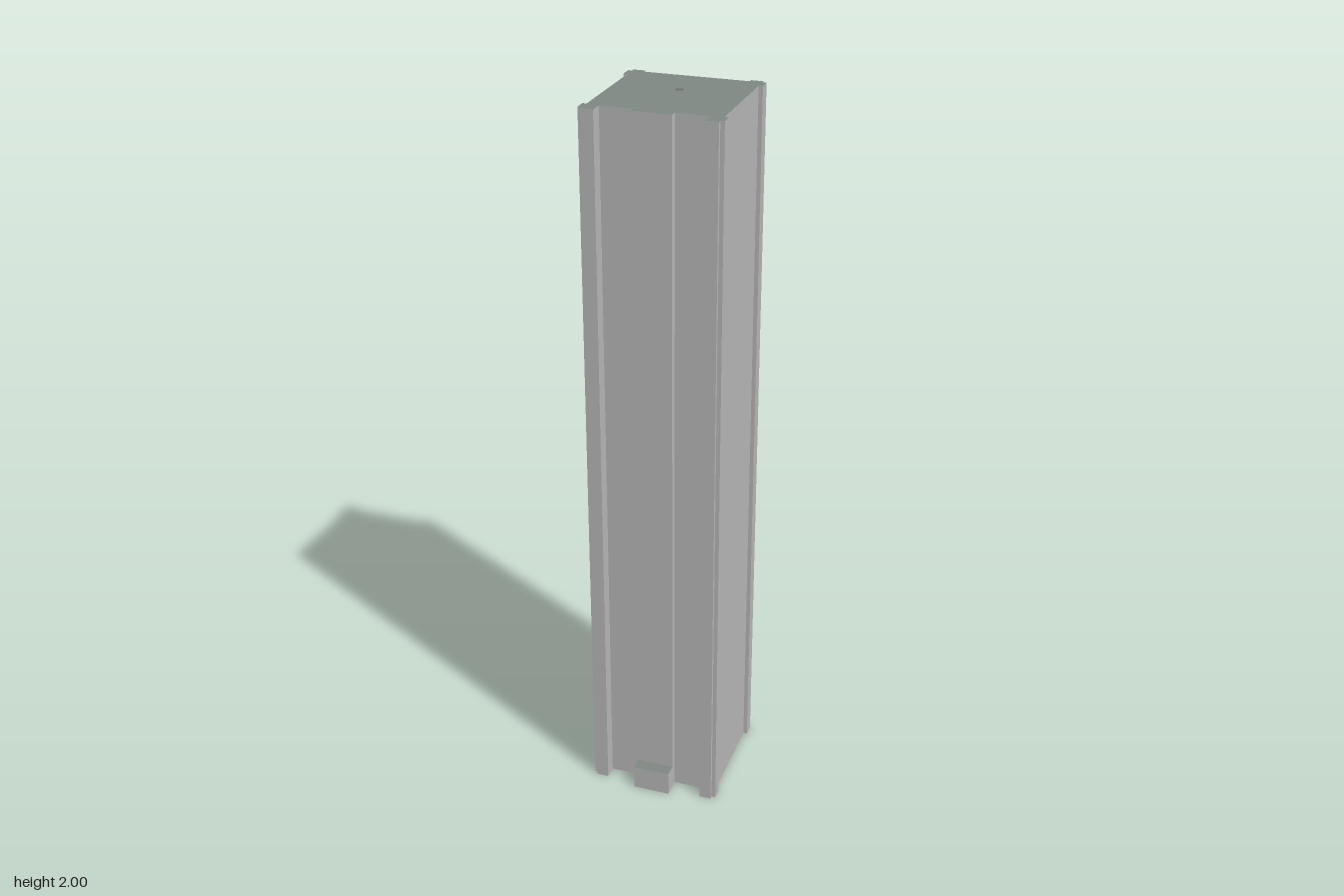
import * as THREE from 'three';

const wallMat = new THREE.MeshStandardMaterial({ color: 0xb8b8b8, side: THREE.DoubleSide });
wallMat.name = 'light grey wall';
const roofMat = new THREE.MeshStandardMaterial({ color: 0x808884, side: THREE.DoubleSide });
roofMat.name = 'grey green roof';

// Upright walls along a plan outline [x, z], open at top and bottom
function makeWalls(name, pts, y0, y1, closed = true) {
  const pos = [];
  const n = closed ? pts.length : pts.length - 1;
  for (let i = 0; i < n; i++) {
    const [ax, az] = pts[i];
    const [bx, bz] = pts[(i + 1) % pts.length];
    pos.push(bx, y0, bz, ax, y0, az, ax, y1, az);
    pos.push(bx, y0, bz, ax, y1, az, bx, y1, bz);
  }
  const geo = new THREE.BufferGeometry();
  geo.setAttribute('position', new THREE.Float32BufferAttribute(pos, 3));
  geo.computeVertexNormals();
  const mesh = new THREE.Mesh(geo, wallMat);
  mesh.name = name;
  return mesh;
}

// Flat roof filling a plan outline
function makeRoof(name, pts, y) {
  const shape = new THREE.Shape(pts.map(([x, z]) => new THREE.Vector2(x, -z)));
  const geo = new THREE.ShapeGeometry(shape);
  geo.rotateX(-Math.PI / 2);
  geo.translate(0, y, 0);
  const mesh = new THREE.Mesh(geo, roofMat);
  mesh.name = name;
  return mesh;
}

export function createModel() {
  const model = new THREE.Group();
  model.name = 'towerBlock';

  // The tower stands turned on its plot
  const tower = new THREE.Group();
  tower.name = 'tower';
  tower.rotation.y = -THREE.MathUtils.degToRad(16);
  model.add(tower);

  // Half plan, back to front: notched corner piers, recessed front, entrance bay
  const wall = 0.174, pier = 0.185, inner = 0.141, front = 0.148, bay = 0.168, bayX = 0.052;
  const half = [
    [inner, -wall], [inner, -pier], [wall, -pier], [wall, -wall],
    [pier, -wall], [pier, -inner], [wall, -inner],
    [wall, inner + 0.003], [pier, inner + 0.003], [pier, wall + 0.002],
    [wall, wall + 0.002], [wall, pier + 0.001], [inner, pier + 0.001],
    [inner, front], [bayX, front], [bayX, bay],
  ];
  const plan = [...half, ...half.map(([x, z]) => [-x, z]).reverse()];
  const top = 1.995;
  tower.add(makeWalls('outerWalls', plan, 0, top), makeRoof('mainRoof', plan, top));

  // Entrance porch in front of the bay
  const porchZ = 0.205, porchH = 0.07;
  const porch = [[bayX, bay], [bayX, porchZ], [-bayX, porchZ], [-bayX, bay]];
  tower.add(makeWalls('porchWalls', porch, 0, porchH, false), makeRoof('porchRoof', porch, porchH));

  // Small roof hatch, square to the axes
  const hatch = new THREE.Mesh(new THREE.BoxGeometry(0.019, 0.008, 0.014), roofMat);
  hatch.name = 'roofHatch';
  hatch.position.set(0.0105, 1.996, -0.042);
  model.add(hatch);

  return model;
}
